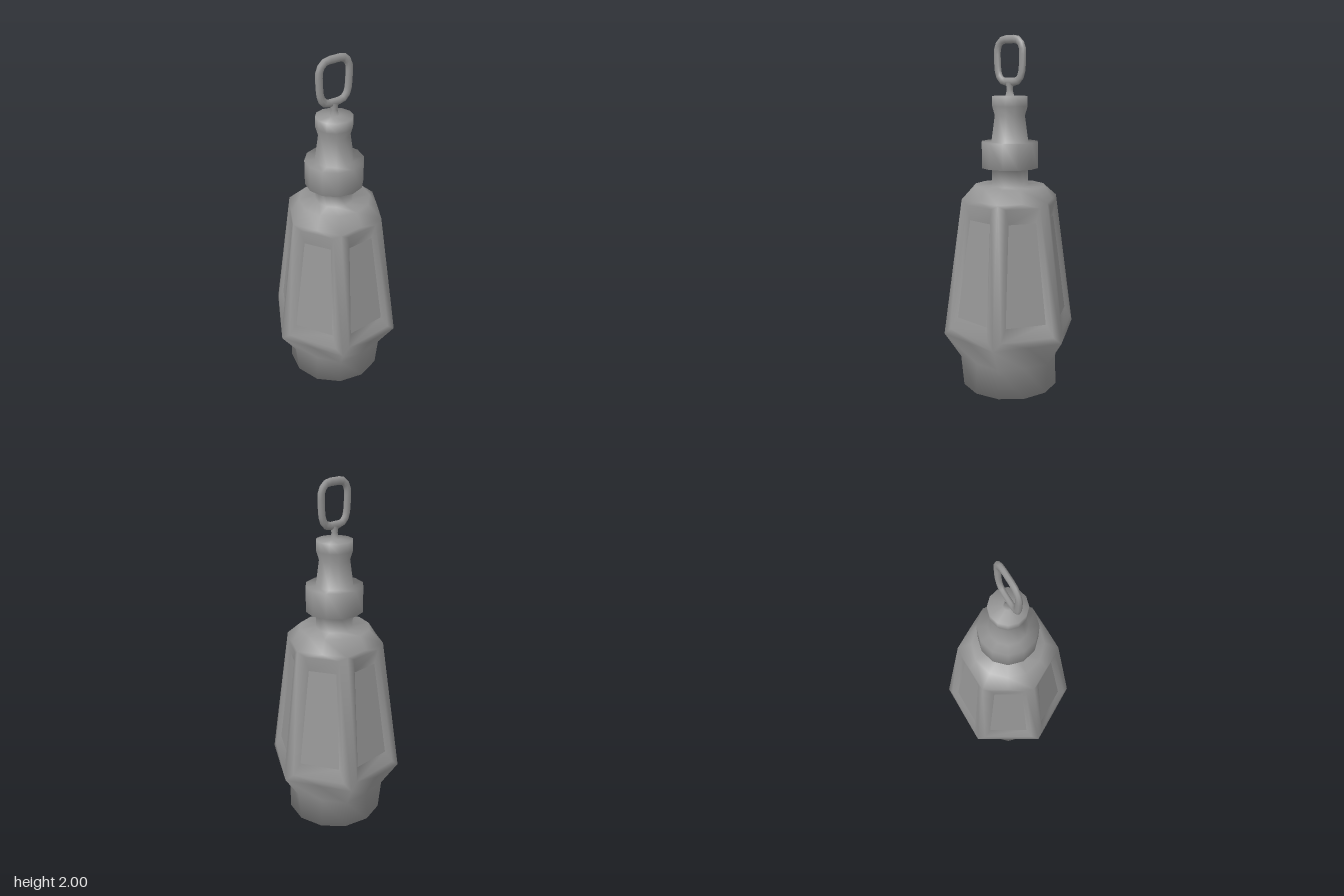
import * as THREE from 'three';

const material = new THREE.MeshStandardMaterial({ color: 0x959595 });

// Body, neck, collar, cap and stem as one smooth skin of 12-point rings;
// even points of a ring are the hexagon corners
function buildBody() {
  const pos = [], index = [];
  const add = (x, y, z) => pos.push(x, y, z) / 3 - 1;
  // corners of a quad run bottom right, top right, top left, bottom left
  const quad = (a, b, c, d) => index.push(a, b, c, a, c, d);

  const ring = (y, corner, middle = corner) => Array.from({ length: 12 }, (_, i) => {
    const a = i * Math.PI / 6, r = i % 2 ? middle : corner;
    return add(r * Math.cos(a), y, r * Math.sin(a));
  });
  const band = (lo, hi) => lo.forEach((_, i) => {
    const j = (i + 1) % 12;
    quad(lo[i], hi[i], hi[j], lo[j]);
  });

  // Foot and flare
  const foot = ring(0, 0.28);
  const waist = ring(0.18, 0.297, 0.272);
  const wide = ring(0.33, 0.393, 0.341);
  band(foot, waist);
  band(waist, wide);
  const baseCentre = add(0, 0, 0);
  foot.forEach((p, i) => index.push(p, foot[(i + 1) % 12], baseCentre));

  // Shoulder, neck, collar, cap and stem
  const shoulder = ring(1.11, 0.28, 0.244);
  const upper = [
    [0.2, 1.18], [0.105, 1.18], [0.105, 1.28], [0.162, 1.28], [0.162, 1.425], [0.106, 1.425],
    [0.086, 1.57], [0.101, 1.62], [0.101, 1.675], [0.024, 1.678], [0.017, 1.71], [0.023, 1.75],
  ];
  upper.reduce((below, [r, y]) => {
    const next = ring(y, r);
    band(below, next);
    return next;
  }, shoulder);

  // Each side: a frame, a sloping reveal and a sunken panel
  for (let k = 0; k < 6; k++) {
    const a = (k + 0.5) * Math.PI / 3, c = Math.cos(a), s = Math.sin(a);
    const point = (t, y, depth) => {
      const r = THREE.MathUtils.mapLinear(y, 0.33, 1.11, 0.341, 0.244) - depth;
      return add(r * c - t * s, y, r * s + t * c);
    };
    const rect = (y0, w0, y1, w1, depth) => [
      point(-w0, y0, depth), point(-w1, y1, depth), point(w1, y1, depth), point(w0, y0, depth)];
    const opening = rect(0.37, 0.15, 1.085, 0.096, 0);
    // the panel has its own points so that it stays flat
    const [reveal, panel] = [0, 1].map(() => rect(0.44, 0.115, 1.0, 0.078, 0.02));
    const i = 2 * k, m = i + 1, j = (i + 2) % 12;
    const [br, tr, tl, bl] = opening;
    quad(wide[i], shoulder[i], tr, br);
    quad(bl, tl, shoulder[j], wide[j]);
    quad(tr, shoulder[i], shoulder[m], tl);
    index.push(tl, shoulder[m], shoulder[j]);
    quad(wide[i], br, bl, wide[m]);
    index.push(wide[m], bl, wide[j]);
    for (let e = 0; e < 4; e++) {
      const f = (e + 1) % 4;
      quad(opening[e], opening[f], reveal[f], reveal[e]);
    }
    quad(...panel);
  }

  const geometry = new THREE.BufferGeometry();
  geometry.setAttribute('position', new THREE.Float32BufferAttribute(pos, 3));
  geometry.setIndex(index);
  geometry.computeVertexNormals();
  return geometry;
}

// Hanging loop: a rounded rectangle, a little narrower at the bottom
function buildLoop() {
  const half = [[0.055, 1.757], [0.082, 1.785], [0.094, 1.87], [0.09, 1.94], [0.06, 1.973]];
  const points = [[0, 1.752], ...half, [0, 1.978],
    ...half.slice().reverse().map(([x, y]) => [-x, y])];
  const path = new THREE.CatmullRomCurve3(
    points.map(([x, y]) => new THREE.Vector3(x, y, 0)), true);
  // flattened from front to back
  return new THREE.TubeGeometry(path, 24, 0.022, 8, true).scale(1, 1, 0.7);
}

export function createModel() {
  const group = new THREE.Group();
  const parts = { lanternBody: buildBody(), hangingLoop: buildLoop() };
  for (const [name, geometry] of Object.entries(parts)) {
    const mesh = new THREE.Mesh(geometry, material);
    mesh.name = name;
    group.add(mesh);
  }
  return group;
}
